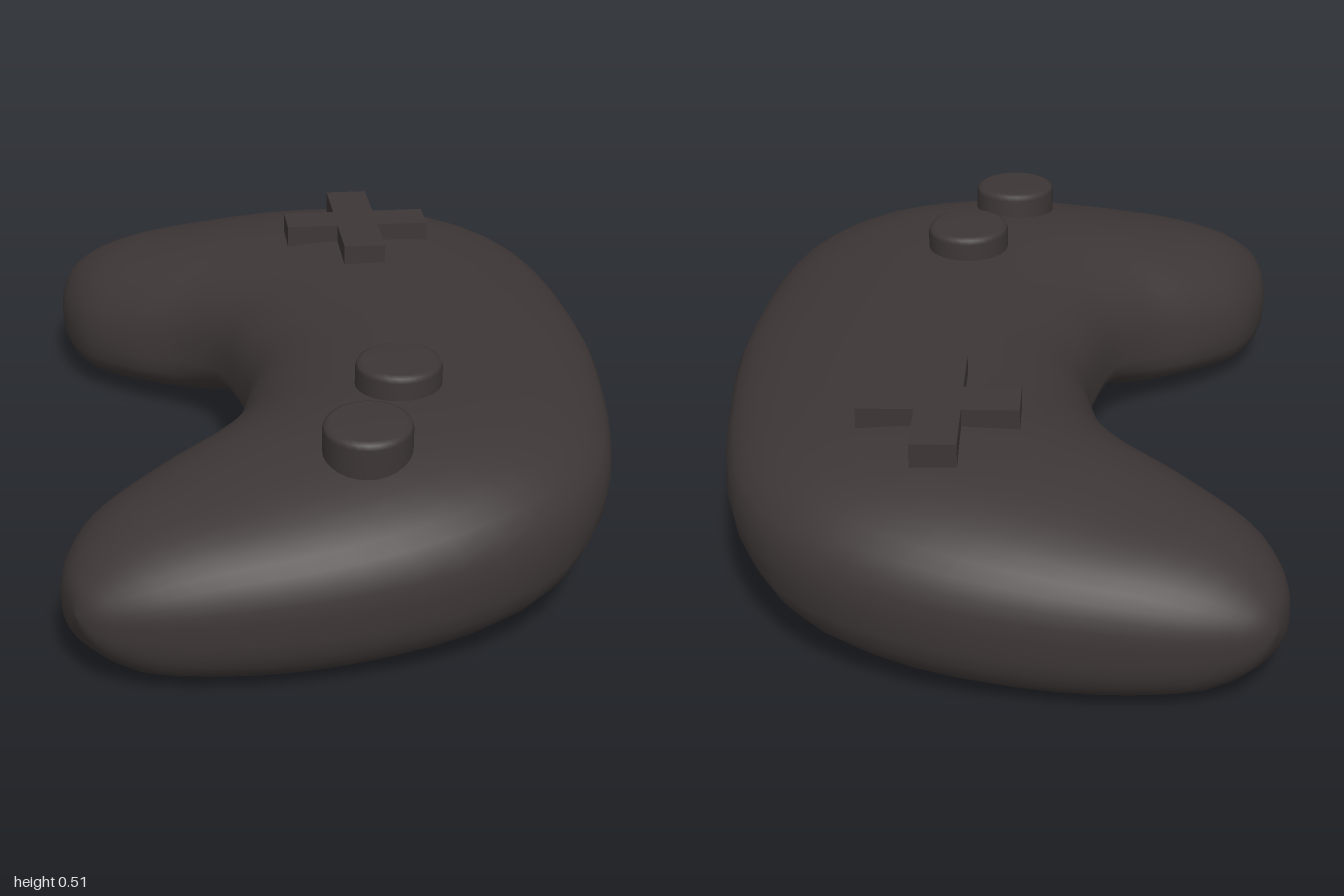
import * as THREE from 'three';

const charcoal = new THREE.MeshStandardMaterial({ color: 0x3d3636 });
charcoal.name = 'charcoal';

// Half of the body from the middle to the grip tip: outer x, z | inner x, z |
// top | widest height at outer and inner edge | bottom | rise of the underside to the outer edge | roundness of the top
const HALF = [
  [0, -0.763, 0, 0.077, 0.46, 0.29, 0.2, 0.115, 0.12, 0.8],
  [0.25, -0.747, 0.14, 0.1, 0.46, 0.29, 0.2, 0.115, 0.12, 0.8],
  [0.45, -0.722, 0.26, 0.135, 0.46, 0.28, 0.19, 0.1, 0.1, 0.8],
  [0.62, -0.674, 0.34, 0.19, 0.46, 0.26, 0.17, 0.06, 0.05, 0.8],
  [0.77, -0.573, 0.4, 0.25, 0.455, 0.24, 0.155, 0.02, 0.01, 0.82],
  [0.88, -0.42, 0.45, 0.33, 0.438, 0.23, 0.15, 0.01, 0, 0.87],
  [0.945, -0.23, 0.5, 0.395, 0.41, 0.215, 0.15, 0.003, 0, 0.9],
  [0.974, -0.03, 0.55, 0.45, 0.378, 0.2, 0.15, 0.001, 0, 0.92],
  [0.98, 0.15, 0.61, 0.49, 0.348, 0.19, 0.155, 0.01, 0, 0.95],
  [0.972, 0.3, 0.7, 0.52, 0.305, 0.185, 0.16, 0.035, 0, 1],
  [0.95, 0.41, 0.79, 0.523, 0.255, 0.18, 0.17, 0.09, 0, 1],
  [0.925, 0.465, 0.85, 0.508, 0.22, 0.18, 0.175, 0.14, 0, 1],
  [0.895, 0.492, 0.895, 0.492, 0.18, 0.18, 0.18, 0.18, 0, 1],
];

// Rounded cross-sections lofted from grip tip to grip tip
function bodyGeometry() {
  const N = 36;
  const mirrored = HALF.slice(1).reverse().map(([ox, oz, ix, ...rest]) => [-ox, oz, -ix, ...rest]);
  const keys = [...mirrored, ...HALF];
  const columns = keys[0].map((_, c) => new THREE.SplineCurve(keys.map((k, i) => new THREE.Vector2(i, k[c]))));
  const steps = (keys.length - 1) * 2;
  const soft = (v, e) => Math.sign(v) * Math.pow(Math.abs(v), e);
  const pos = [], index = [];
  for (let i = 0; i <= steps; i++) {
    const [ox, oz, ix, iz, top, outerMid, innerMid, bottom, lift, round] = columns.map((c) => c.getPoint(i / steps).y);
    for (let j = 0; j < N; j++) {
      const a = (j / N) * Math.PI * 2;
      const e = j <= N / 2 ? round : 0.72;
      const s = (soft(Math.cos(a), e) + 1) / 2; // 0 inner, 1 outer
      const h = soft(Math.sin(a), e);
      const mid = innerMid + (outerMid - innerMid) * s;
      const y = h > 0 ? mid + (top - mid) * h : mid + (mid - bottom - lift * s) * h;
      pos.push(ix + (ox - ix) * s, y, iz + (oz - iz) * s);
      if (i < steps) {
        const p = i * N + j, q = i * N + ((j + 1) % N);
        index.push(p, q, p + N, q, q + N, p + N);
      }
    }
  }
  const g = new THREE.BufferGeometry();
  g.setAttribute('position', new THREE.Float32BufferAttribute(pos, 3));
  g.setIndex(index);
  g.computeVertexNormals();
  return g;
}

// Plus-shaped pad with arms of half lengths a and b, half width w
function padGeometry(a, b, w, height) {
  const outline = [[w, w], [w, b], [-w, b], [-w, w], [-a, w], [-a, -w],
    [-w, -w], [-w, -b], [w, -b], [w, -w], [a, -w], [a, w]];
  const shape = new THREE.Shape(outline.map(([x, y]) => new THREE.Vector2(x, y)));
  return new THREE.ExtrudeGeometry(shape, { depth: height, bevelEnabled: false }).rotateX(-Math.PI / 2);
}

// Round button with a softened rim
function buttonGeometry(r, height) {
  const profile = [[r, 0], [r, height - 0.015], [r - 0.004, height - 0.005], [r - 0.015, height], [0, height]];
  return new THREE.LatheGeometry(profile.map(([x, y]) => new THREE.Vector2(x, y)), 28);
}

export function createModel() {
  const model = new THREE.Group();
  model.name = 'gameController';
  const add = (name, geometry, x, y, z) => {
    const mesh = new THREE.Mesh(geometry, charcoal);
    mesh.name = name;
    mesh.position.set(x, y, z);
    model.add(mesh);
    return mesh;
  };

  add('body', bodyGeometry(), -0.02, 0, -0.034).rotation.y = -1.036;
  add('directionPad', padGeometry(0.2, 0.178, 0.051, 0.1), -0.065, 0.4, -0.575).rotation.set(0, -1.02, 0.02);
  const rear = add('rearButton', buttonGeometry(0.097, 0.115), 0.39, 0.4, 0.19);
  rear.scale.z = 1.05;
  const front = add('frontButton', buttonGeometry(0.097, 0.115), 0.445, 0.39, 0.478);
  front.rotation.set(0.06, 0, -0.02);
  front.scale.z = 1.05;
  return model;
}
